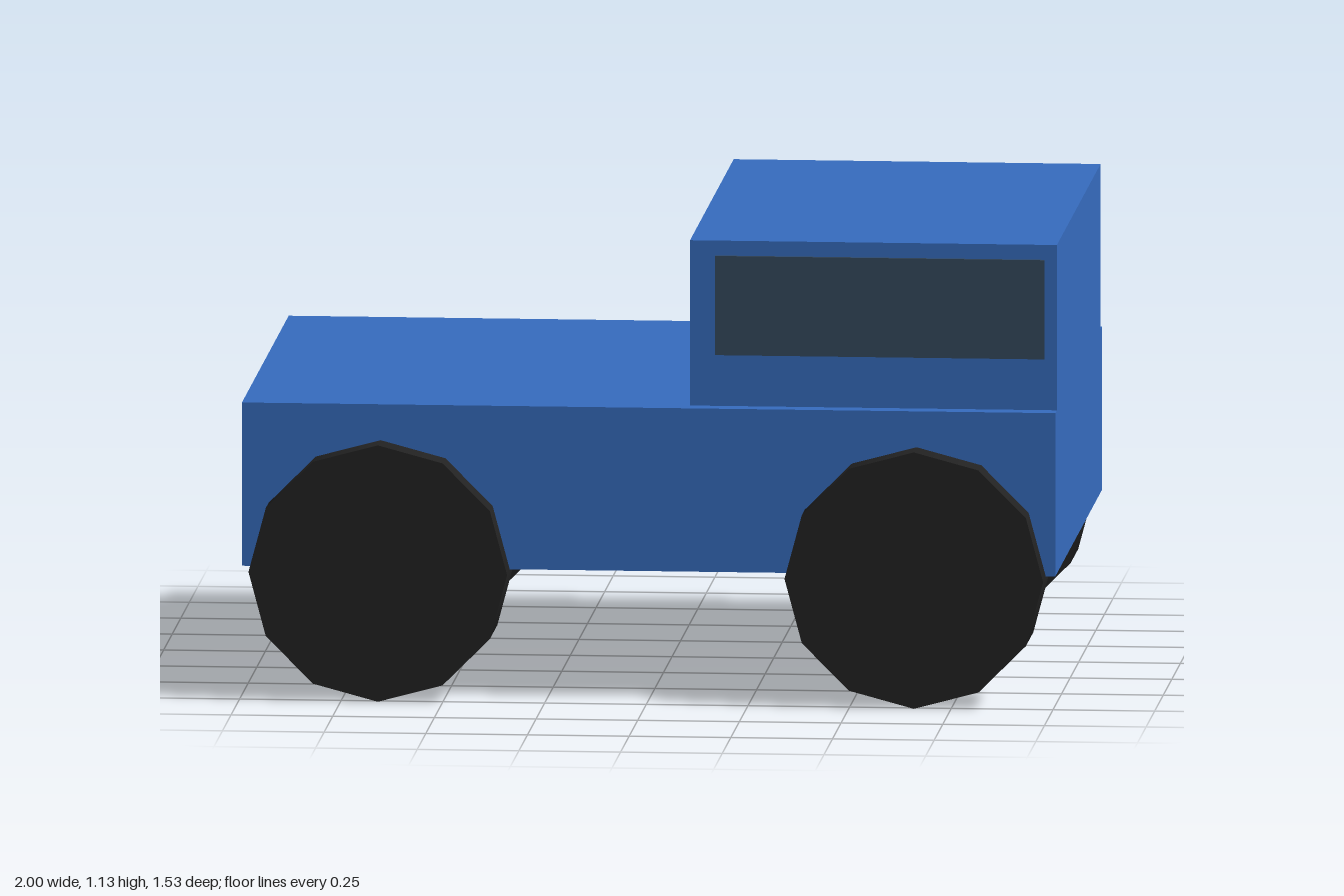
import * as THREE from 'three';

export function createModel() {
  const model = new THREE.Group();
  model.name = 'pickup';

  const material = (name, color) => {
    const m = new THREE.MeshStandardMaterial({ color });
    m.name = name;
    return m;
  };
  const paint = material('blue paint', 0x366cbf);
  const glass = material('dark glass', 0x34495e);
  const rubber = material('black rubber', 0x222222);

  const add = (name, geometry, mat, x, y, z) => {
    const mesh = new THREE.Mesh(geometry, mat);
    mesh.name = name;
    mesh.position.set(x, y, z);
    model.add(mesh);
    return mesh;
  };

  // Lower body and the narrower cab standing on its +x end
  add('body', new THREE.BoxGeometry(2, 0.405, 1.364), paint, 0, 0.5225, 0);
  add('cab', new THREE.BoxGeometry(0.902, 0.41, 1.274), paint, 0.549, 0.93, 0);

  // Twelve-sided wheels on z axles, and a thin window on each cab side
  const wheel = new THREE.CylinderGeometry(0.318, 0.318, 0.218, 12).rotateX(Math.PI / 2);
  const pane = new THREE.BoxGeometry(0.81, 0.246, 0.009);
  for (const side of [1, -1]) {
    const label = side > 0 ? 'front' : 'back';
    add(label + 'Window', pane, glass, 0.565, 0.975, side * 0.6405);
    for (const end of [1, -1]) {
      add(label + (end > 0 ? 'Left' : 'Right') + 'Wheel', wheel, rubber, end * 0.659, 0.318, side * 0.655);
    }
  }
  return model;
}
